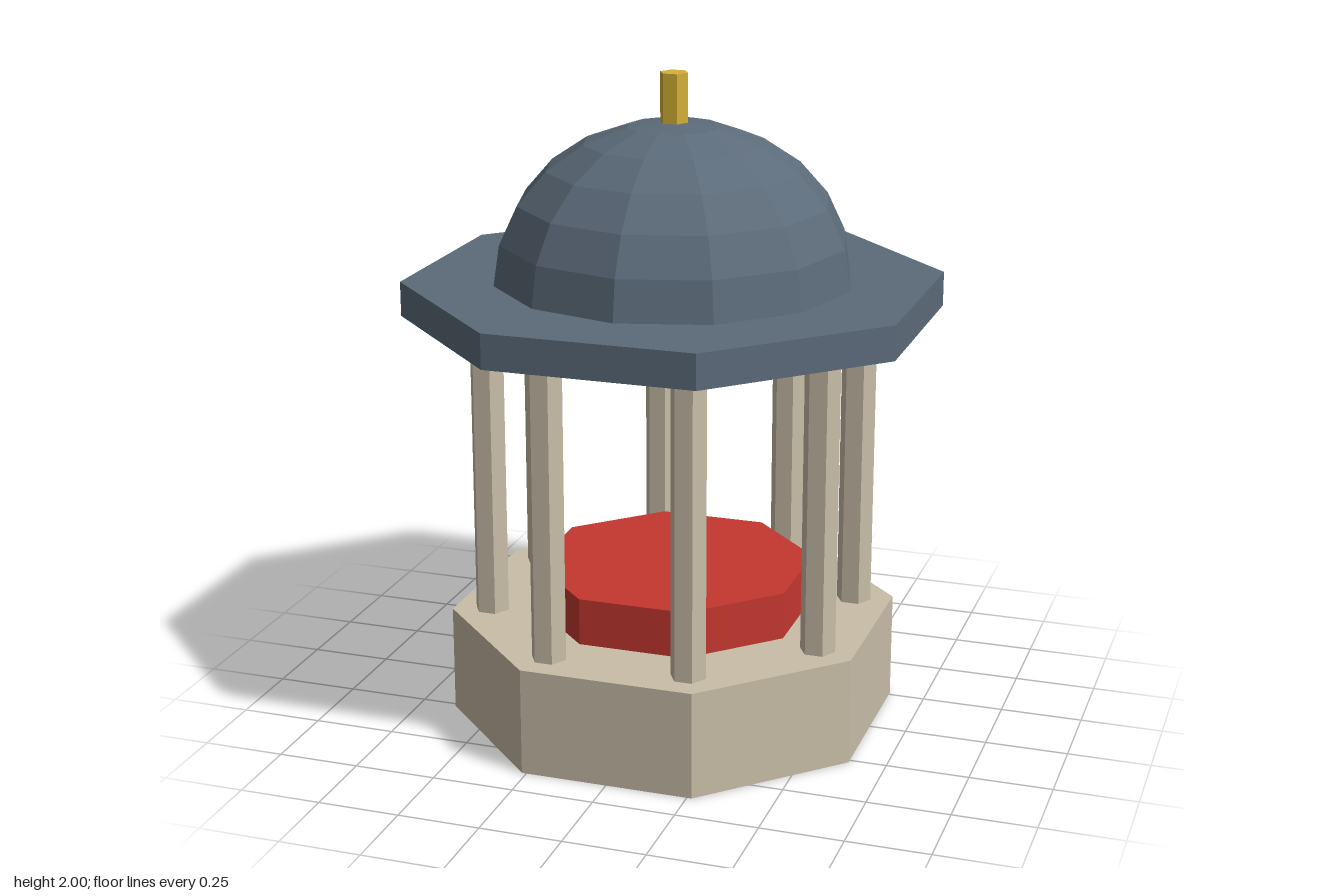
import * as THREE from 'three';

const paint = (color) => new THREE.MeshStandardMaterial({ color, flatShading: true });

export function createModel() {
  const pavilion = new THREE.Group();
  pavilion.name = 'pavilion';
  const stone = paint(0xc8bda8);
  const slate = paint(0x5c6b7a);
  const red = paint(0xc4372f);
  const gold = paint(0xd4af37);

  // Upright prism between two heights, turned by an angle
  function prism(name, radius, sides, bottom, top, turn, material) {
    const geometry = new THREE.CylinderGeometry(radius, radius, top - bottom, sides);
    geometry.rotateY(turn);
    const mesh = new THREE.Mesh(geometry, material);
    mesh.name = name;
    mesh.position.y = (bottom + top) / 2;
    pavilion.add(mesh);
    return mesh;
  }

  // Octagonal base and raised platform, flat sides to the front
  const eighth = Math.PI / 8;
  prism('base', 0.69, 8, 0, 0.33, eighth, stone);
  prism('platform', 0.434, 8, 0.33, 0.475, eighth, red);

  // Ring of eight hexagonal columns, one at each corner, all facing the same way
  for (let i = 0; i < 8; i++) {
    const angle = eighth + (i * Math.PI) / 4;
    const column = prism(`column${i + 1}`, 0.054, 6, 0.33, 1.277, Math.PI / 6, stone);
    column.position.x = 0.566 * Math.sin(angle);
    column.position.z = 0.566 * Math.cos(angle);
  }

  // Overhanging roof slab
  prism('roofSlab', 0.818, 8, 1.277, 1.382, eighth, slate);

  // Twelve-sided dome, slightly flattened
  const domeGeometry = new THREE.SphereGeometry(0.545, 12, 6, 0, Math.PI * 2, 0, Math.PI / 2);
  domeGeometry.scale(1, 0.475 / 0.545, 1);
  const dome = new THREE.Mesh(domeGeometry, slate);
  dome.name = 'dome';
  dome.position.y = 1.382;
  pavilion.add(dome);

  // Hexagonal finial
  prism('finial', 0.043, 6, 1.84, 2, Math.PI / 6, gold);

  return pavilion;
}
